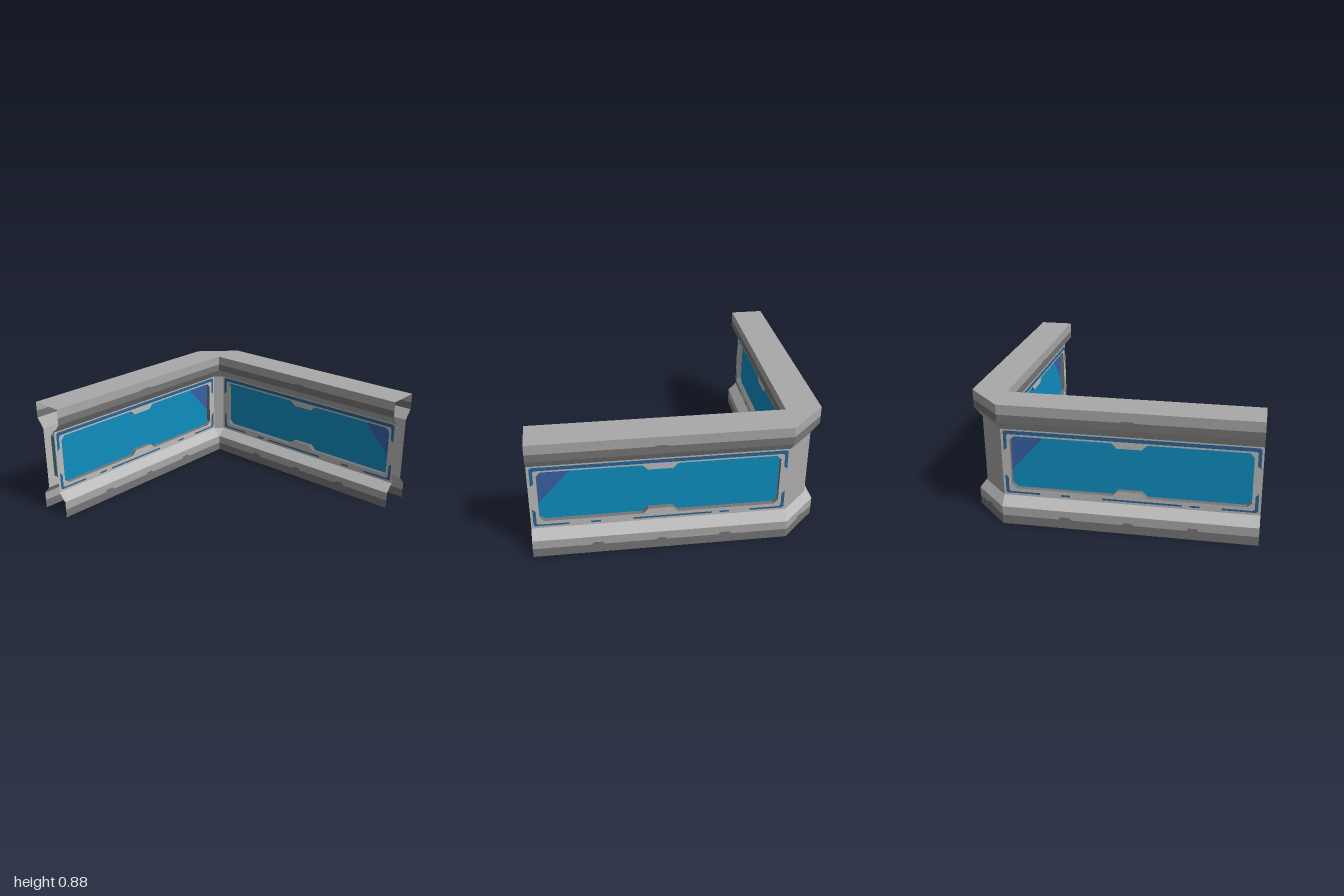
import * as THREE from 'three';

const mat = (name, color) => {
  const m = new THREE.MeshStandardMaterial({ color, side: THREE.DoubleSide });
  m.name = name;
  return m;
};

// Wall cross-section: height and inset from the outer face
const PROFILE = [[0, 0], [0.065, 0], [0.13, 0], [0.193, 0.06], [0.685, 0.06], [0.755, 0], [0.81, 0], [0.88, 0]];
const WALL_BAND = 3;
const BAND_NAMES = ['skirt', 'lowerBand', 'lowerSlope', 'wall', 'upperSlope', 'upperTrim', 'fascia'];

// Plan stations along each side: x, z and inward direction
const OUTER = [[1, -1, 0, 1], [-0.75, -1, 0, 1], [-1, -0.75, 1, 0], [-1, 1, 1, 0]];
const INNER = [[1, -0.75, 0, -1], [-0.75, -0.75, 0, -1], [-0.75, -0.75, -1, 0], [-0.75, 1, -1, 0]];

// Flat-shaded ribbon joining two lines of points
function ribbon(a, b) {
  const pos = [];
  const tri = (p, q, r) => {
    const n = q.clone().sub(p).cross(r.clone().sub(p));
    if (n.length() > 1e-8) pos.push(...p.toArray(), ...q.toArray(), ...r.toArray());
  };
  for (let i = 0; i < a.length - 1; i++) {
    tri(a[i], b[i], b[i + 1]);
    tri(a[i], b[i + 1], a[i + 1]);
  }
  const g = new THREE.BufferGeometry();
  g.setAttribute('position', new THREE.Float32BufferAttribute(pos, 3));
  g.computeVertexNormals();
  return g;
}

const shapeOf = (pts) => new THREE.Shape(pts.map(([x, y]) => new THREE.Vector2(x, y)));
const rect = (x0, y0, x1, y1) => [[x0, y0], [x1, y0], [x1, y1], [x0, y1]];

// Window outline with cut corners and a notch above and below
const L = -0.69, R = 0.94, B = 0.247, T = 0.636, C = 0.03, MID = 0.125;
const WINDOW = [
  [L + C, B], [MID - 0.12, B], [MID - 0.083, B + 0.038], [MID + 0.083, B + 0.038], [MID + 0.12, B], [R - C, B],
  [R, B + C], [R, T - C],
  [R - C, T], [MID + 0.12, T], [MID + 0.083, T - 0.036], [MID - 0.083, T - 0.036], [MID - 0.12, T], [L + C, T],
  [L, T - C], [L, B + C],
];

export function createModel() {
  const pale = mat('pale grey panel', 0xbabbba);
  const grey = mat('mid grey metal', 0xa8a9a8);
  const dark = mat('dark grey trim', 0x757575);
  const glass = mat('blue glass', 0x0e8ec0);
  const glare = mat('violet glass corner', 0x3a60a6);
  const line = mat('blue line', 0x2b6496);
  const bandMats = [dark, grey, pale, grey, grey, dark, grey];

  const model = new THREE.Group();
  model.name = 'cornerWall';
  const add = (parent, name, geometry, material) => {
    const m = new THREE.Mesh(geometry, material);
    m.name = name;
    parent.add(m);
    return m;
  };

  // Horizontal bands run round both sides of the corner; window walls are left open
  for (const [side, stations] of [['outer', OUTER], ['inner', INNER]]) {
    for (let i = 0; i < PROFILE.length - 1; i++) {
      const used = i === WALL_BAND ? stations.slice(1, 3) : stations;
      const edge = ([y, d]) => used.map(([x, z, nx, nz]) => new THREE.Vector3(x + nx * d, y, z + nz * d));
      const name = i === WALL_BAND ? 'CornerWall' : BAND_NAMES[i][0].toUpperCase() + BAND_NAMES[i].slice(1);
      const g = ribbon(edge(PROFILE[i]), edge(PROFILE[i + 1]));
      if (g.attributes.position.count) add(model, side + name, g, bandMats[i]);
    }
  }

  // Flat top cap
  const plan = [...OUTER, ...INNER.filter((_, i) => i !== 2).reverse()];
  const top = new THREE.ShapeGeometry(shapeOf(plan.map(([x, z]) => [x, -z])));
  top.rotateX(-Math.PI / 2).translate(0, 0.88, 0);
  add(model, 'topCap', top, grey);

  // One face of an arm: s = 1 is the inner side, s = -1 the outer side
  function windowFace(s) {
    const face = new THREE.Group();
    face.name = s > 0 ? 'innerWindowFace' : 'outerWindowFace';
    const zAt = (depth) => -0.875 + s * (0.125 - depth);
    const plate = (name, pts, depth, material) => {
      const g = new THREE.ShapeGeometry(pts.isShape ? pts : shapeOf(pts));
      add(face, name, g.translate(0, 0, zAt(depth)), material);
    };

    // Wall panel with the window opening
    const wall = shapeOf(rect(-0.75, 0.193, 1, 0.685));
    wall.isShape = true;
    wall.holes.push(new THREE.Path(WINDOW.map(([x, y]) => new THREE.Vector2(x, y))));
    plate('wallPanel', wall, 0.06, pale);

    // Recess rim and glass
    const loop = [...WINDOW, WINDOW[0]];
    const at = (depth) => loop.map(([x, y]) => new THREE.Vector3(x, y, zAt(depth)));
    add(face, 'windowRim', ribbon(at(0.06), at(0.095)), dark);
    plate('windowGlass', WINDOW, 0.094, glass);
    plate('glassCorner', [[0.705, T], [R, 0.375], [R, T - C], [R - C, T]], 0.091, glare);

    // Broken blue outline: corner brackets, then dashes along the bottom
    const x0 = -0.735, x1 = 0.982, w = 0.022;
    plate('topLine', [
      [x0, 0.53], [x0 + w, 0.55], [x0 + w, 0.64], [x0 + 0.035, 0.65], [x1 - 0.035, 0.65], [x1 - w, 0.64],
      [x1 - w, 0.55], [x1, 0.53], [x1, 0.665], [x1 - 0.012, 0.676], [x0 + 0.012, 0.676], [x0, 0.665],
    ], 0.057, line);
    for (const m of [-1, 1]) {
      const end = MID + m * 0.858;
      plate('lowerBracket', [
        [end, 0.35], [end - m * w, 0.33], [end - m * w, 0.235], [end - m * 0.035, 0.224],
        [end - m * 0.24, 0.224], [end - m * 0.24, 0.211], [end - m * 0.012, 0.211], [end, 0.222],
      ], 0.057, line);
      plate('lowerDash', rect(MID + m * 0.44 - 0.033, 0.211, MID + m * 0.44 + 0.033, 0.224), 0.057, line);
    }
    plate('lowerLine', rect(-0.23, 0.211, 0.31, 0.224), 0.057, line);

    // Raised tabs in the dark skirt and trim
    for (const [x, h, r] of [[-0.313, 0.02, 0.047], [MID, 0.017, 0.04], [0.56, 0.02, 0.047]]) {
      plate('skirtTab', [[x - r, 0.064], [x + r, 0.064], [x + r * 0.6, 0.065 + h], [x - r * 0.6, 0.065 + h]], -0.002, dark);
    }
    plate('trimTab', [[0.065, 0.809], [0.185, 0.809], [0.15, 0.82], [0.1, 0.82]], -0.002, dark);
    return face;
  }

  // Two arms, the second turned to run forward from the corner
  for (const name of ['backArm', 'sideArm']) {
    const arm = new THREE.Group();
    arm.name = name;
    arm.add(windowFace(1), windowFace(-1));
    if (name === 'sideArm') {
      arm.rotation.y = Math.PI / 2;
      arm.position.z = 0.25;
    }
    model.add(arm);
  }

  // Tab on the cut corner
  const tab = new THREE.ShapeGeometry(shapeOf([[-0.045, 0.064], [0.045, 0.064], [0.028, 0.085], [-0.028, 0.085]]));
  const cornerTab = add(model, 'cornerTab', tab, dark);
  cornerTab.rotation.y = -Math.PI * 0.75;
  cornerTab.position.set(-0.877, 0, -0.877);

  return model;
}
